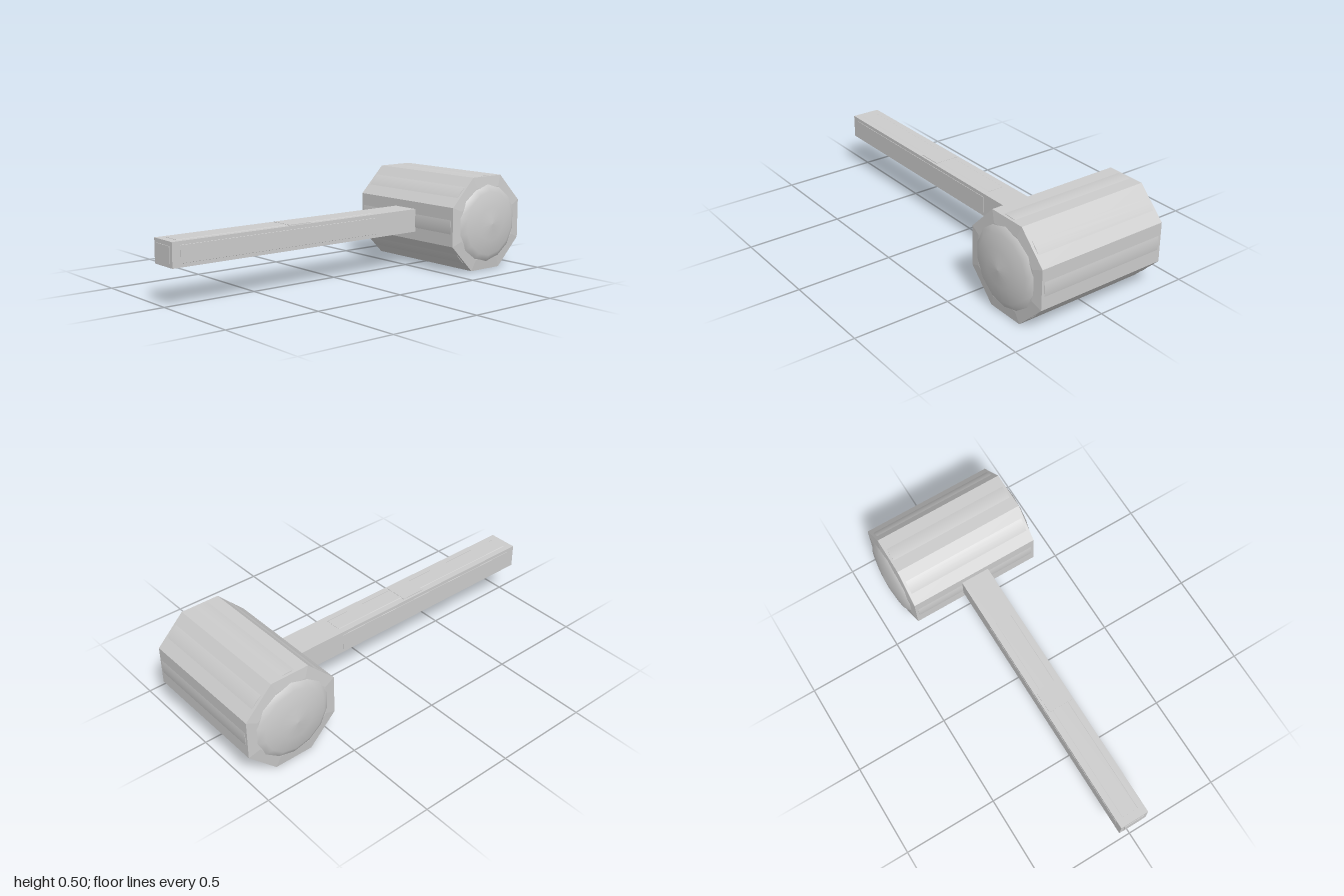
import * as THREE from 'three';

const HEAD_X = 0.745, HEAD_Y = 0.247, APOTHEM = 0.247;
const flat = new THREE.MeshStandardMaterial({ color: 0xcccccc, flatShading: true });
const smooth = new THREE.MeshStandardMaterial({ color: 0xcccccc });

function part(parent, name, geometry, material, x = 0, y = 0, z = 0) {
  const mesh = new THREE.Mesh(geometry, material);
  mesh.name = name;
  mesh.position.set(x, y, z);
  parent.add(mesh);
  return mesh;
}

// Turned profile of [radius, height] pairs, laid along z
function turned(profile, sides, phase = 0) {
  const points = profile.map(([r, h]) => new THREE.Vector2(r, h));
  return new THREE.LatheGeometry(points, sides, phase).rotateX(Math.PI / 2);
}

export function createModel() {
  const model = new THREE.Group();
  model.name = 'mallet';

  const head = new THREE.Group();
  head.name = 'head';
  head.position.set(HEAD_X, HEAD_Y, 0);
  model.add(head);

  // Eight-sided block with gently tapered ends
  const k = 1 / Math.cos(Math.PI / 8);
  const block = [[0, -0.363], [0.19 * k, -0.363], [APOTHEM * k, -0.355],
    [APOTHEM * k, 0.355], [0.19 * k, 0.363], [0, 0.363]];
  part(head, 'headBlock', turned(block, 8, Math.PI / 8), flat);

  // Round core that swells slightly through the middle of each facet
  part(head, 'headCore', new THREE.CylinderGeometry(0.25, 0.25, 0.68, 64).rotateX(Math.PI / 2), smooth);

  // Domed striking faces
  const dome = [[0.212, 0.35], [0.205, 0.361], [0.17, 0.381], [0.09, 0.394], [0, 0.403]];
  for (const side of [1, -1]) {
    const face = part(head, side > 0 ? 'frontFace' : 'backFace', turned(dome, 14), smooth);
    if (side < 0) face.rotation.y = Math.PI;
  }

  const handle = new THREE.Group();
  handle.name = 'handle';
  handle.position.y = 0.25;
  model.add(handle);

  // Handle shaft running into the head
  part(handle, 'shaft', new THREE.BoxGeometry(1.597, 0.122, 0.154), flat, -0.1985);

  // Chamfered core standing just proud of the four sides
  const h = 0.0625, d = 0.0785, a = 0.042;
  const section = new THREE.Shape([[d, -a], [d, a], [a, h], [-a, h], [-d, a], [-d, -a], [-a, -h], [a, -h]]
    .map(([z, y]) => new THREE.Vector2(z, y)));
  const core = new THREE.ExtrudeGeometry(section, { depth: 1.17, bevelEnabled: false }).rotateY(Math.PI / 2);
  part(handle, 'shaftCore', core, flat, -0.955);

  // Small raised plate around the grip, and the butt plate
  part(handle, 'gripPlateTall', new THREE.BoxGeometry(0.13, 0.128, 0.128), flat, -0.265);
  part(handle, 'buttPlate', new THREE.BoxGeometry(0.02, 0.08, 0.11), flat, -0.99);

  return model;
}
